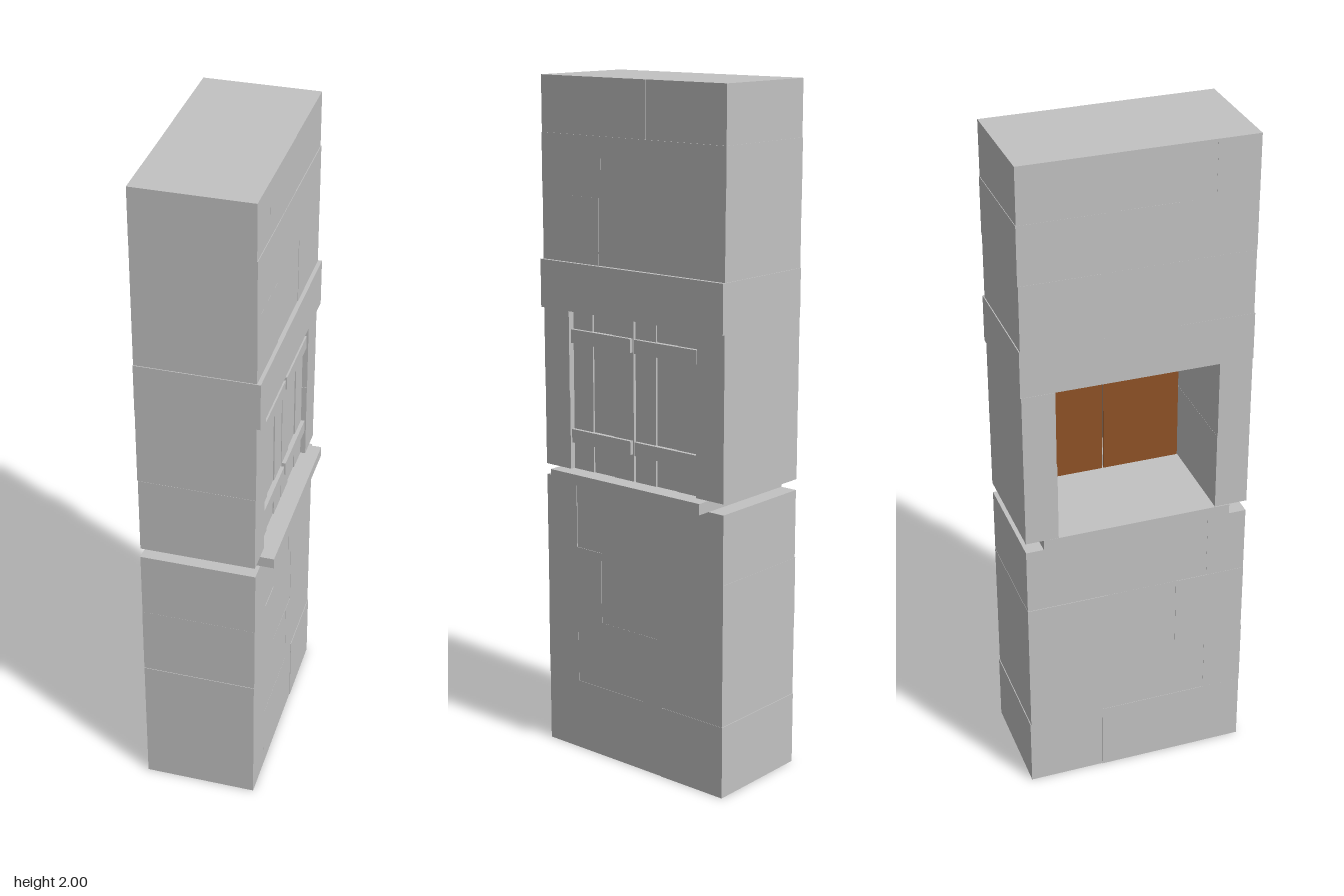
import * as THREE from 'three';

const stone = new THREE.MeshStandardMaterial({ color: 0xc2c2c2 });
stone.name = 'grey stone';
const wood = new THREE.MeshStandardMaterial({ color: 0x8f5226 });
wood.name = 'brown wood';

// Box given by its lower and upper corners
function block(parent, name, mat, [x0, y0, z0], [x1, y1, z1]) {
  const mesh = new THREE.Mesh(new THREE.BoxGeometry(x1 - x0, y1 - y0, z1 - z0), mat);
  mesh.position.set((x0 + x1) / 2, (y0 + y1) / 2, (z0 + z1) / 2);
  mesh.name = name;
  parent.add(mesh);
  return mesh;
}

// Small repeatable unevenness for hewn stones
let seed = 7;
function jitter(amount) {
  seed = (seed * 16807) % 2147483647;
  return (seed / 2147483647) * amount;
}

// One course of stones, split along z
function course(parent, name, y0, y1, cuts) {
  for (let i = 0; i < cuts.length - 1; i++) {
    const z0 = cuts[i] + (i === 0 ? jitter(0.003) : 0);
    const z1 = cuts[i + 1] - (i === cuts.length - 2 ? jitter(0.003) : 0);
    block(parent, name, stone, [-0.188 + jitter(0.003), y0, z0], [0.15 - jitter(0.004), y1, z1]);
  }
}

export function createModel() {
  const root = new THREE.Group();
  root.name = 'shutteredWindowWall';
  const E = 0.335;

  // Stone courses below the sill
  const lower = new THREE.Group();
  lower.name = 'lowerWall';
  root.add(lower);
  course(lower, 'lowerStone', 0, 0.215, [-E, -0.11, 0.21, E]);
  course(lower, 'lowerStone', 0.215, 0.42, [-E, -0.04, 0.215, E]);
  course(lower, 'lowerStone', 0.42, 0.635, [-E, -0.09, 0.12, E]);
  course(lower, 'lowerStone', 0.635, 0.838, [-E, -0.06, 0.215, E]);

  // Jambs either side of the opening
  const jambs = new THREE.Group();
  jambs.name = 'jambs';
  root.add(jambs);
  for (const [y0, y1] of [[0.87, 1.105], [1.105, 1.34]]) {
    course(jambs, 'jambStone', y0, y1, [-E, -0.235]);
    course(jambs, 'jambStone', y0, y1, [0.235, E]);
  }

  // Sill and lintel
  block(root, 'sill', stone, [-0.188, 0.838, -0.28], [0.188, 0.87, 0.28]);
  block(root, 'lintel', stone, [-0.187, 1.34, -E], [0.16, 1.48, E]);

  // Stone courses above the lintel
  const upper = new THREE.Group();
  upper.name = 'upperWall';
  root.add(upper);
  course(upper, 'upperStone', 1.48, 1.67, [-E, -0.1, 0.12, E]);
  course(upper, 'upperStone', 1.67, 1.84, [-E, -0.09, 0.11, E]);
  course(upper, 'upperStone', 1.84, 2, [-E, -0.055, 0.212, E]);

  // Pair of planked shutters with two straps each and a wooden lining behind
  for (const side of [1, -1]) {
    const shutter = new THREE.Group();
    shutter.name = side > 0 ? 'frontShutter' : 'backShutter';
    root.add(shutter);
    const span = (a, b) => (side > 0 ? [a, b] : [-b, -a]);
    for (let i = 0; i < 3; i++) {
      const [z0, z1] = span(0.004 + i * 0.077, 0.079 + i * 0.077);
      block(shutter, 'plank', stone, [0.124, 0.87, z0], [i === 1 ? 0.131 : 0.134, 1.34, z1]);
    }
    for (const y of [0.95, 1.245]) {
      const [z0, z1] = span(0.008, 0.233);
      block(shutter, 'strap', stone, [0.13, y, z0], [0.145, y + 0.04, z1]);
    }
    const [z0, z1] = span(0.002, 0.235);
    block(shutter, 'shutterLining', wood, [0.118, 0.87, z0], [0.124, 1.34, z1]);
  }
  return root;
}
